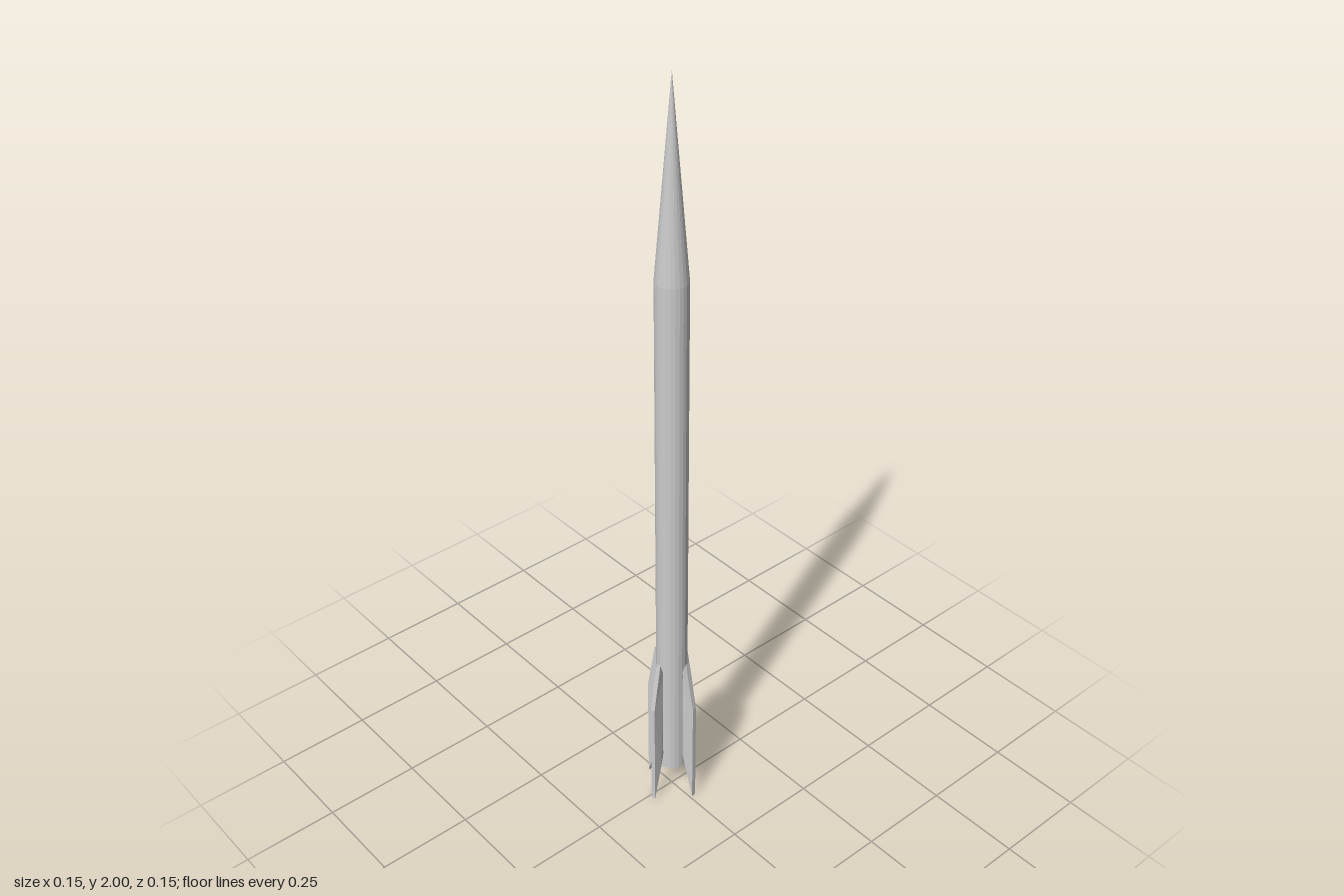
import * as THREE from 'three';

export function createModel() {
  const group = new THREE.Group();
  const material = new THREE.MeshStandardMaterial({ color: 0xcccccc, flatShading: true });
  const add = (name, geometry) => {
    const mesh = new THREE.Mesh(geometry, material);
    mesh.name = name;
    group.add(mesh);
    return mesh;
  };

  const radius = 0.04, base = 0.09, shoulder = 1.52, tip = 2, sides = 24;

  // Straight body tube, closed at the tail
  add('body', new THREE.CylinderGeometry(radius, radius, shoulder - base, sides))
    .position.y = (base + shoulder) / 2;

  // Long pointed nose
  add('noseCone', new THREE.ConeGeometry(radius, tip - shoulder, sides, 1, true))
    .position.y = (shoulder + tip) / 2;

  // Swept fin outline: x runs outward from the body axis
  const outline = [
    [0.036, 0.41], [0.036, 0.145], [0.05, 0.1], [0.076, 0], [0.076, 0.31], [0.052, 0.45],
  ].map(([x, y]) => new THREE.Vector2(x, y));
  const thickness = 0.0125;
  const fin = new THREE.ExtrudeGeometry(new THREE.Shape(outline), {
    depth: thickness, bevelEnabled: false,
  });
  fin.translate(0, 0, -thickness / 2);

  // Thin the fin where it meets the body
  const p = fin.attributes.position;
  for (let i = 0; i < p.count; i++) {
    if (p.getX(i) < 0.045) p.setZ(i, p.getZ(i) * 0.55);
  }
  fin.computeVertexNormals();

  // Four fins, turned slightly off the main axes
  for (let i = 0; i < 4; i++) {
    add('fin' + (i + 1), fin).rotation.y = THREE.MathUtils.degToRad(9) + i * Math.PI / 2;
  }
  return group;
}
